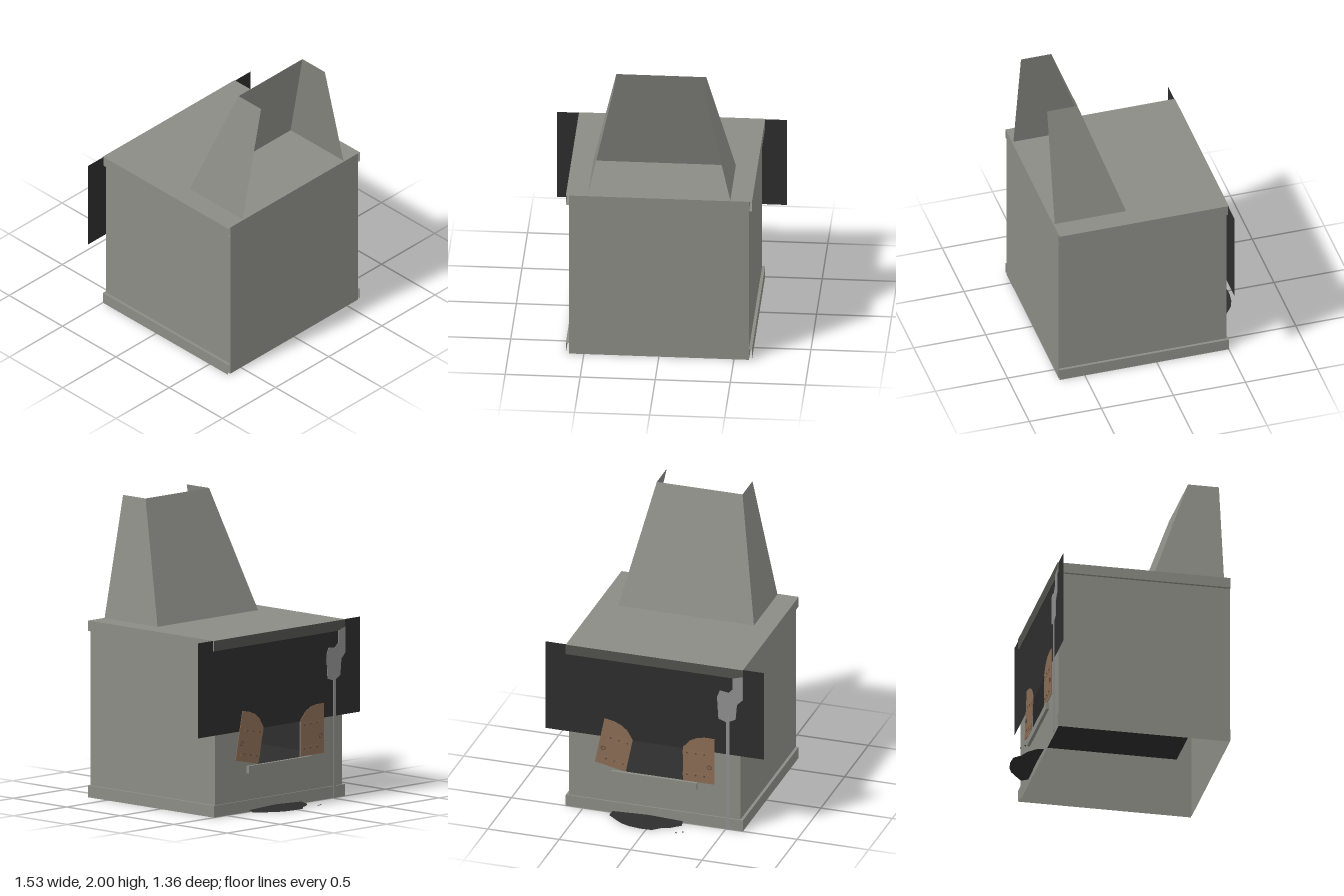
import * as THREE from 'three';

const mat = (name, color) => {
  const m = new THREE.MeshStandardMaterial({ color, side: THREE.DoubleSide });
  m.name = name;
  return m;
};

export function createModel() {
  const stone = mat('grey stone', 0x8c8c86);
  const soot = mat('soot black', 0x2d2d2d);
  const stained = mat('sooty stone', 0x50514c);
  const rust = mat('rusty iron', 0x8a6c54);
  const darkRust = mat('dark rust', 0x5e4a3b);
  const steel = mat('dull steel', 0x8e8e8e);
  const root = new THREE.Group();
  root.name = 'stove';

  const add = (name, geo, material, parent = root) => {
    const m = new THREE.Mesh(geo, material);
    m.name = name;
    parent.add(m);
    return m;
  };
  // flat four-cornered sheet
  const quad = (name, material, ...pts) => {
    const g = new THREE.BufferGeometry();
    g.setAttribute('position', new THREE.Float32BufferAttribute(pts.flat(), 3));
    g.setIndex([0, 1, 2, 0, 2, 3]);
    g.computeVertexNormals();
    return add(name, g, material);
  };
  const outline = (pts) => new THREE.Shape(pts.map(([x, y]) => new THREE.Vector2(x, y)));
  const box = (name, material, x0, x1, y0, y1, z0, z1, parent) => {
    const m = add(name, new THREE.BoxGeometry(x1 - x0, y1 - y0, z1 - z0), material, parent);
    m.position.set((x0 + x1) / 2, (y0 + y1) / 2, (z0 + z1) / 2);
    return m;
  };

  const W = 0.6, B = 0.62, T = 1.19, F = 0.675, K = -0.49, KB = -0.5;

  // body walls, open underneath
  quad('frontWall', stone, [-W, 0, F], [W, 0, F], [W, T, F], [-W, T, F]);
  quad('leftWall', stone, [W, 0, F], [W, 0, K], [W, T, K], [W, T, F]);
  quad('rightWall', stone, [-W, 0, K], [-W, 0, F], [-W, T, F], [-W, T, K]);

  // back wall with arched fire opening
  const back = outline([[-W, 0], [W, 0], [W, T], [-W, T]]);
  const hole = new THREE.Path();
  hole.moveTo(-0.2, 0.31);
  hole.lineTo(-0.2, 0.56);
  hole.quadraticCurveTo(-0.14, 0.66, 0, 0.66);
  hole.quadraticCurveTo(0.14, 0.66, 0.2, 0.56);
  hole.lineTo(0.2, 0.31);
  back.holes.push(hole);
  const backGeo = new THREE.ShapeGeometry(back);
  backGeo.rotateY(Math.PI);
  add('backWall', backGeo, stone).position.z = K;

  // projecting bands round the base and the top, open at the front ends
  const band = (name, y0, y1, ledgeY, backMat) => {
    for (const s of [-1, 1]) {
      const p = [[s * B, y0, F], [s * B, y0, KB], [s * B, y1, KB], [s * B, y1, F]];
      quad(name + 'Side', stone, ...(s > 0 ? p : p.reverse()));
      const l = [[s * W, ledgeY, F], [s * B, ledgeY, F], [s * B, ledgeY, KB], [s * W, ledgeY, KB]];
      const up = (s > 0) === (ledgeY === y1);
      quad(name + 'Ledge', stone, ...(up ? l : l.reverse()));
    }
    quad(name + 'Back', backMat, [B, y0, KB], [-B, y0, KB], [-B, y1, KB], [B, y1, KB]);
    const l = [[-B, ledgeY, K], [B, ledgeY, K], [B, ledgeY, KB], [-B, ledgeY, KB]];
    quad(name + 'BackLedge', stone, ...(ledgeY === y1 ? l : l.reverse()));
  };
  band('baseBand', 0, 0.08, 0.08, stone);
  band('topBand', 1.12, T, 1.12, stained);
  quad('topPlate', stone, [-B, T, F], [B, T, F], [B, T, KB], [-B, T, KB]);

  // chimney hood, open at front and top
  const hb = 0.475, ht = 0.3, zb = 0.17, zt = 0.455, zf = 0.665;
  quad('hoodSlope', stone, [hb, T, zb], [-hb, T, zb], [-ht, 2, zt], [ht, 2, zt]);
  quad('hoodLeft', stone, [hb, T, zf], [hb, T, zb], [ht, 2, zt], [ht, 2, zf]);
  quad('hoodRight', stone, [-hb, T, zb], [-hb, T, zf], [-ht, 2, zf], [-ht, 2, zt]);

  // firebox
  const fx = 0.4, f0 = 0.31, f1 = 0.8, fz = 0.53, fk = -0.488;
  quad('fireboxFloor', soot, [-fx, f0, fz], [fx, f0, fz], [fx, f0, fk], [-fx, f0, fk]);
  quad('fireboxRoof', soot, [-fx, f1, fk], [fx, f1, fk], [fx, f1, fz], [-fx, f1, fz]);
  quad('fireboxEnd', soot, [fx, f0, fz], [-fx, f0, fz], [-fx, f1, fz], [fx, f1, fz]);
  for (const s of [-fx, fx])
    quad('fireboxSide', soot, [s, f0, fz], [s, f0, fk], [s, f1, fk], [s, f1, fz]);

  // soot sheet over the opening
  quad('sootSheet', soot, [0.765, 0.55, -0.494], [-0.765, 0.55, -0.494],
    [-0.765, T, -0.494], [0.765, T, -0.494]);

  box('sill', stone, -0.3, 0.3, 0.26, 0.31, -0.51, K);

  // pair of open iron doors, drawn from the hinge corner outwards
  const doorShape = outline([[0, 0], [0.22, 0], [0.22, 0.335], [0.15, 0.335], [0.1, 0.325], [0.05, 0.3], [0, 0.245]]);
  for (const s of [-1, 1]) {
    const door = new THREE.Group();
    door.name = s > 0 ? 'leftDoor' : 'rightDoor';
    const g = new THREE.ExtrudeGeometry(doorShape, { depth: 0.004, bevelEnabled: false });
    if (s < 0) g.rotateY(Math.PI).translate(0, 0, 0.004);
    add('doorPlate', g, rust, door);
    for (const y of [0.05, 0.21]) {
      box('strap', rust, Math.min(0, s * 0.18), Math.max(0, s * 0.18), y - 0.014, y + 0.014, -0.002, 0, door);
      for (const x of [0.03, 0.09, 0.15]) {
        const stud = add('stud', new THREE.CylinderGeometry(0.006, 0.006, 0.004, 8), darkRust, door);
        stud.rotation.x = Math.PI / 2;
        stud.position.set(s * x, y, -0.003);
      }
    }
    const ring = add('ringHandle', new THREE.TorusGeometry(0.014, 0.003, 6, 14), darkRust, door);
    ring.position.set(s * 0.185, 0.12, -0.002);
    door.position.set(s * 0.2, 0.315, -0.501);
    if (s > 0) door.rotation.z = 0.2; // this one sags
    root.add(door);
  }

  // shovel leaning on the wall
  const blade = outline([[-0.51, 0.79], [-0.45, 0.81], [-0.44, 0.97], [-0.46, 1.02], [-0.52, 1.01],
    [-0.55, 1.04], [-0.55, 1.12], [-0.62, 1.14], [-0.62, 0.97], [-0.58, 0.93], [-0.57, 0.82]]);
  add('shovelBlade', new THREE.ExtrudeGeometry(blade, { depth: 0.003, bevelEnabled: false }), steel)
    .position.z = -0.505;
  box('shovelHandle', steel, -0.527, -0.503, 0, 0.82, -0.507, -0.502);

  // ash heap on the ground
  const rim = [[0.29, -0.502], [0.3, -0.55], [0.24, -0.6], [0.18, -0.645], [0.12, -0.668], [0.04, -0.68],
    [-0.04, -0.677], [-0.09, -0.63], [-0.15, -0.605], [-0.21, -0.55], [-0.2, -0.502]];
  const heap = new THREE.BufferGeometry();
  const pos = [0.04, 0.022, -0.502];
  const idx = [];
  rim.forEach(([x, z], i) => {
    pos.push(x, i === 0 || i === rim.length - 1 ? 0.012 : 0.003, z);
    if (i) idx.push(0, i, i + 1);
  });
  heap.setAttribute('position', new THREE.Float32BufferAttribute(pos, 3));
  heap.setIndex(idx);
  heap.computeVertexNormals();
  add('ashHeap', heap, soot);
  for (const [x, z] of [[-0.245, -0.64], [-0.205, -0.662]])
    box('ashSpeck', soot, x - 0.004, x + 0.004, 0, 0.004, z - 0.004, z + 0.004);

  return root;
}
